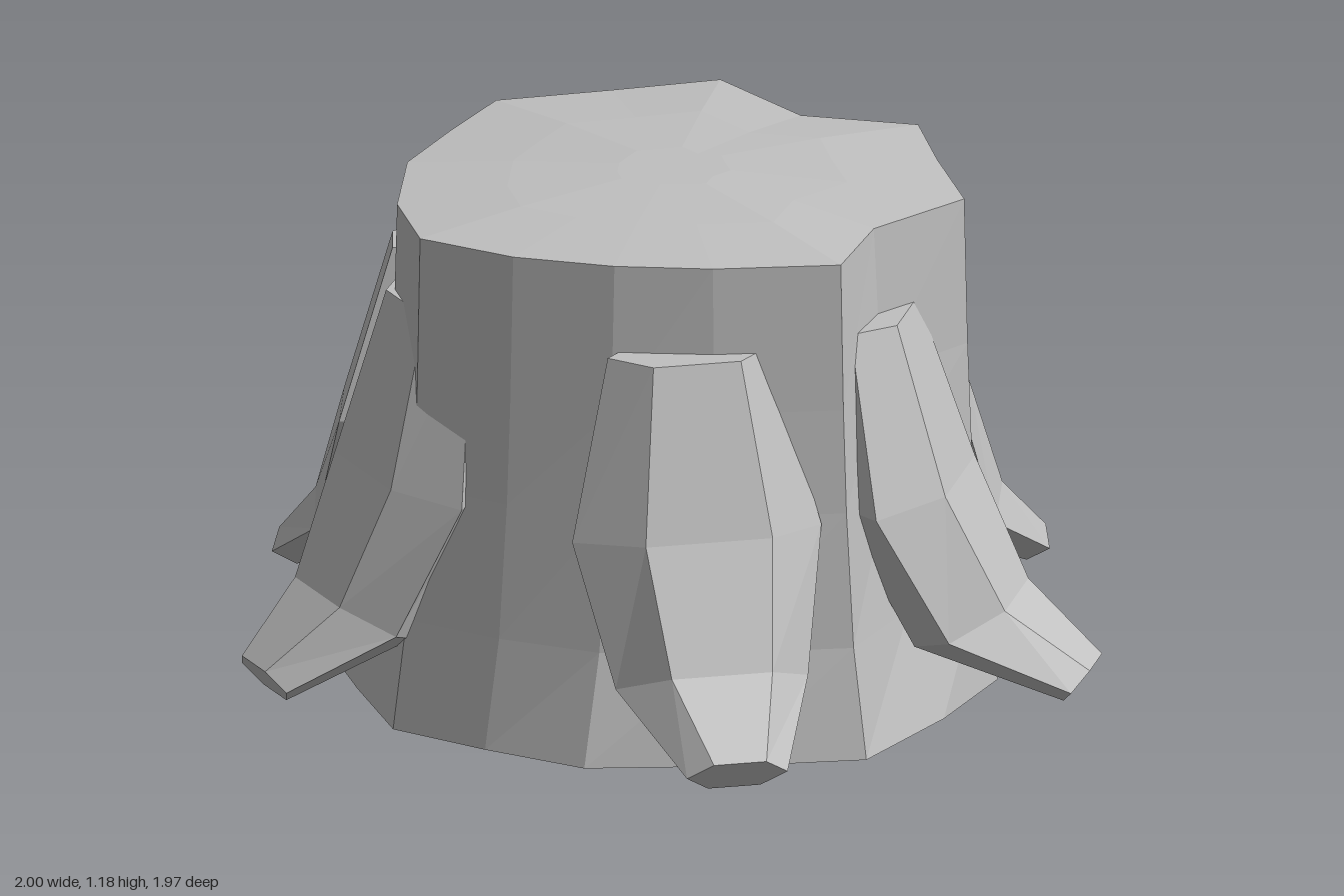
import * as THREE from 'three';

const bark = new THREE.MeshStandardMaterial({ color: 0xc0c0c0, flatShading: true });
bark.name = 'grey wood';

// Skins rings of [x, y, z] points (bottom to top, anticlockwise from above) and closes both ends.
function loft(name, rings) {
  const pos = [];
  const n = rings[0].length;
  const tri = (...pts) => pts.forEach((p) => pos.push(...p));
  const centre = (ring) => [0, 1, 2].map((k) => ring.reduce((sum, p) => sum + p[k], 0) / n);
  const first = rings[0], last = rings[rings.length - 1];
  const c0 = centre(first), c1 = centre(last);
  for (let i = 0; i < n; i++) {
    const j = (i + 1) % n;
    for (let k = 0; k + 1 < rings.length; k++) {
      const lo = rings[k], hi = rings[k + 1];
      tri(lo[i], lo[j], hi[j]);
      tri(lo[i], hi[j], hi[i]);
    }
    tri(first[j], first[i], c0);
    tri(last[i], last[j], c1);
  }
  const geo = new THREE.BufferGeometry();
  geo.setAttribute('position', new THREE.Float32BufferAttribute(pos, 3));
  geo.computeVertexNormals();
  const mesh = new THREE.Mesh(geo, bark);
  mesh.name = name;
  return mesh;
}

// Trunk outlines as [x, z], starting at the front and going towards +x.
const base = [[0, 0.76], [0.3, 0.63], [0.55, 0.48], [0.67, 0.23], [0.76, 0], [0.66, -0.28],
  [0.54, -0.57], [0.28, -0.7], [0, -0.8], [-0.28, -0.7], [-0.55, -0.57], [-0.66, -0.28],
  [-0.75, -0.01], [-0.66, 0.22], [-0.55, 0.45], [-0.28, 0.62]];
const rim = [[0, 0.66], [0.2, 0.5], [0.48, 0.45], [0.58, 0.2], [0.68, -0.02], [0.5, -0.22],
  [0.49, -0.52], [0.25, -0.6], [0, -0.69], [-0.2, -0.58], [-0.4, -0.46], [-0.58, -0.24],
  [-0.67, -0.02], [-0.57, 0.2], [-0.42, 0.38], [-0.25, 0.52]];

function trunk() {
  // [height, blend from base to rim]
  const levels = [[0, 0], [0.25, 0.5], [0.56, 0.78], [0.8, 0.9], [1.14, 1]];
  const rings = levels.map(([y, t]) => base.map(([x, z], i) =>
    [x + (rim[i][0] - x) * t, y, z + (rim[i][1] - z) * t]));
  // slightly domed cut top: [height, scale]
  for (const [y, s] of [[1.165, 0.6], [1.18, 0.2]]) {
    rings.push(rim.map(([x, z]) => [x * s, y, z * s]));
  }
  return loft('trunk', rings);
}

// Root stations from the tip up; u runs along the root from its upper end (0) to its tip (1).
const stations = [
  { outer: [1, 0.145], inner: [0.86, 0.07], flat: 0.06, wide: 0.115 },
  { outer: [0.58, 0.29], inner: [0.1, 0.19], flat: 0.115, wide: 0.22 },
  { outer: [0.28, 0.56], inner: [-0.3, 0.52], flat: 0.145, wide: 0.285 },
  { outer: [0, 0.94], inner: [-0.4, 0.94], flat: 0.1, wide: 0.185 },
];

function root(name, top, tip) {
  const dx = tip[0] - top[0], dz = tip[1] - top[1];
  const len = Math.hypot(dx, dz);
  const at = (u, y, s) => [top[0] + dx * u + (dz / len) * s, y, top[1] + dz * u - (dx / len) * s];
  return loft(name, stations.map(({ outer, inner, flat, wide }) => {
    const mid = [(outer[0] + inner[0]) / 2, (outer[1] + inner[1]) / 2];
    return [at(...outer, -flat), at(...outer, flat), at(...mid, wide),
      at(...inner, flat), at(...inner, -flat), at(...mid, -wide)];
  }));
}

export function createModel() {
  const group = new THREE.Group();
  group.name = 'treeStump';
  group.add(trunk());
  // [name, upper end, tip]
  const roots = [
    ['frontRightRoot', [-0.32, 0.56], [-0.48, 0.96]],
    ['frontLeftRoot', [0.27, 0.53], [0.56, 0.85]],
    ['leftRoot', [0.64, -0.05], [1, -0.04]],
    ['backLeftRoot', [0.26, -0.6], [0.36, -0.97]],
    ['backRightRoot', [-0.27, -0.59], [-0.36, -0.95]],
    ['rightRoot', [-0.62, -0.15], [-0.99, -0.21]],
  ];
  for (const r of roots) group.add(root(...r));
  return group;
}
